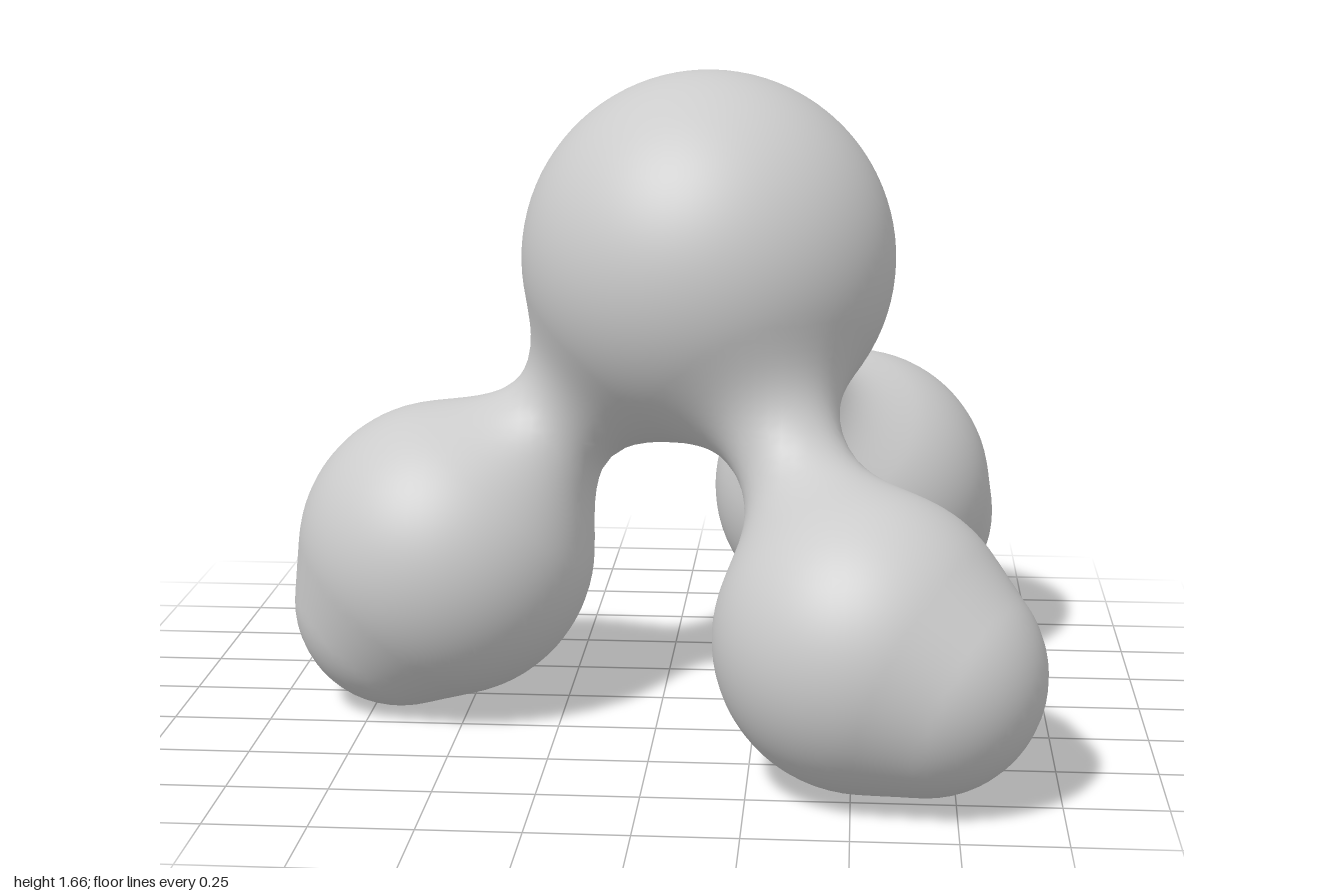
import * as THREE from 'three';

const V = (x, y, z) => new THREE.Vector3(x, y, z);

// Round head and three drop-shaped feet: each foot is a big ball tapering to a small one.
const HEAD = { c: V(0.12, 1.19, 0.05), r: 0.475 };
const FEET = [
  { a: V(-0.56, 0.42, 0.065), ra: 0.385, b: V(-0.68, 0.28, 0.07), rb: 0.28, neck: 0.15 },
  { a: V(0.53, 0.37, 0.645), ra: 0.365, b: V(0.67, 0.31, 0.71), rb: 0.29, neck: 0.14 },
  { a: V(0.49, 0.44, -0.61), ra: 0.385, b: V(0.58, 0.35, -0.69), rb: 0.31, neck: 0.13 },
];
const BLEND = 0.15;

// Distance to a ball swept from a to b while its radius goes from ra to rb.
const ab = V(), ap = V();
function taper(p, a, ra, b, rb) {
  ab.subVectors(b, a);
  ap.subVectors(p, a);
  const len = ab.length(), s = (ra - rb) / len;
  const x = ap.dot(ab) / len;
  const y = Math.sqrt(Math.max(ap.lengthSq() - x * x, 0));
  const u = THREE.MathUtils.clamp(x - s * y / Math.sqrt(1 - s * s), 0, len);
  return Math.hypot(x - u, y) - ra + s * u;
}

// Union with a soft fillet.
function blend(a, b, k = BLEND) {
  const h = Math.max(k - Math.abs(a - b), 0) / k;
  return Math.min(a, b) - h * h * k / 4;
}

// The whole body as one distance field.
function field(p) {
  let d = p.distanceTo(HEAD.c) - HEAD.r;
  for (const f of FEET) {
    const neck = taper(p, HEAD.c, f.neck, f.a, f.neck);
    d = blend(d, blend(neck, taper(p, f.a, f.ra, f.b, f.rb)));
  }
  return d;
}

function gradient(p, out) {
  const e = 0.002, q = p.clone();
  for (const k of ['x', 'y', 'z']) {
    q[k] = p[k] + e;
    const hi = field(q);
    q[k] = p[k] - e;
    out[k] = (hi - field(q)) / (2 * e);
    q[k] = p[k];
  }
  return out;
}

// Wrap the field in a quad skin: one vertex per crossed cell, pulled onto the surface.
function skin(min, max, h) {
  const n = ['x', 'y', 'z'].map((k) => Math.ceil((max[k] - min[k]) / h) + 1);
  const step = [1, n[0], n[0] * n[1]];
  const values = new Float32Array(n[0] * n[1] * n[2]);
  const cell = new Int32Array(values.length).fill(-1);
  const positions = [], normals = [], index = [];
  const p = V(), g = V();
  const eachNode = (margin, fn) => {
    for (let k = 0; k < n[2] - margin; k++)
      for (let j = 0; j < n[1] - margin; j++)
        for (let i = 0; i < n[0] - margin; i++) fn(i, j, k, i + j * step[1] + k * step[2]);
  };

  eachNode(0, (i, j, k, id) => {
    values[id] = field(p.set(min.x + i * h, min.y + j * h, min.z + k * h));
  });

  eachNode(1, (i, j, k, id) => {
    let inside = 0;
    for (let c = 0; c < 8; c++) {
      if (values[id + (c & 1) + ((c >> 1) & 1) * step[1] + (c >> 2) * step[2]] < 0) inside++;
    }
    if (inside === 0 || inside === 8) return;
    p.set(min.x + (i + 0.5) * h, min.y + (j + 0.5) * h, min.z + (k + 0.5) * h);
    for (let t = 0; t < 4; t++) {
      gradient(p, g);
      p.addScaledVector(g, -field(p) / Math.max(g.lengthSq(), 0.25));
    }
    gradient(p, g).normalize();
    cell[id] = positions.length / 3;
    positions.push(p.x, p.y, p.z);
    normals.push(g.x, g.y, g.z);
  });

  // Join the four cells around every grid edge that crosses the surface.
  eachNode(1, (i, j, k, id) => {
    for (let a = 0; a < 3; a++) {
      const inside = values[id] < 0;
      if (inside === values[id + step[a]] < 0) continue;
      const b = step[(a + 1) % 3], c = step[(a + 2) % 3];
      const q = [cell[id], cell[id - b], cell[id - b - c], cell[id - c]];
      if (!inside) q.reverse();
      index.push(q[0], q[1], q[2], q[0], q[2], q[3]);
    }
  });

  const geo = new THREE.BufferGeometry();
  geo.setAttribute('position', new THREE.Float32BufferAttribute(positions, 3));
  geo.setAttribute('normal', new THREE.Float32BufferAttribute(normals, 3));
  geo.setIndex(index);
  return geo;
}

export function createModel() {
  const group = new THREE.Group();
  group.name = 'threeFootedBlob';
  const body = new THREE.Mesh(
    skin(V(-1.07, -0.08, -1.09), V(1.07, 1.75, 1.09), 0.032),
    new THREE.MeshStandardMaterial({ color: 0xcccccc })
  );
  body.name = 'blendedBody';
  group.add(body);
  return group;
}
